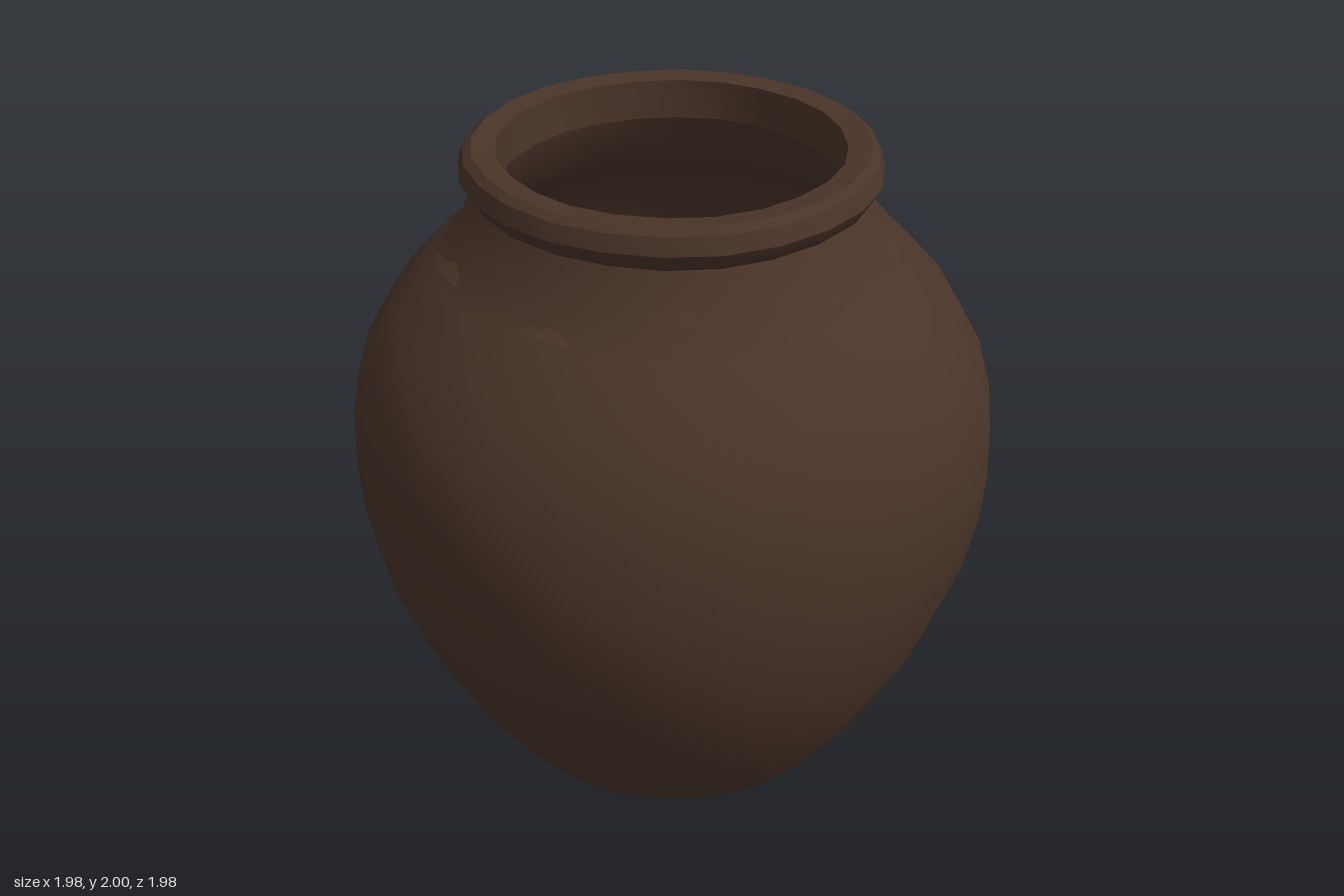
import * as THREE from 'three';
import { toCreasedNormals } from 'three/addons/utils/BufferGeometryUtils.js';

// Outer wall, from foot to the base of the neck: [radius, height]
const wall = [
  [0.6, 0.02], [0.74, 0.23], [0.86, 0.47], [0.94, 0.68], [0.98, 0.88], [0.99, 1.04],
  [0.975, 1.22], [0.93, 1.37], [0.85, 1.51], [0.71, 1.66], [0.64, 1.72], [0.57, 1.87],
];
const rim = [[0.57, 1.87], [0.59, 1.885], [0.615, 1.93], [0.6, 1.98], [0.575, 1.998], [0.505, 1.99], [0.5, 1.87]];

// Gentle hand-made unevenness, periodic around the pot
const wobble = (a, y) => 1 + 0.005 * Math.sin(3 * a + 4 * y) + 0.004 * Math.sin(7 * a - 9 * y);

function radiusAt(y) {
  let i = 1;
  while (i < wall.length - 1 && wall[i][1] < y) i++;
  const [r0, y0] = wall[i - 1], [r1, y1] = wall[i];
  return r0 + (r1 - r0) * (y - y0) / (y1 - y0);
}

function turned(profile, crease) {
  const geo = new THREE.LatheGeometry(profile.map(([r, y]) => new THREE.Vector2(r, y)), 24);
  const p = geo.attributes.position;
  for (let i = 0; i < p.count; i++) {
    const x = p.getX(i), z = p.getZ(i), k = wobble(Math.atan2(x, z), p.getY(i));
    p.setX(i, x * k);
    p.setZ(i, z * k);
  }
  return toCreasedNormals(geo, crease);
}

// A thin raised sliver of clay: upper edge flush, lower edge lifted like a ledge
function sliver(angle, y, length, tilt) {
  const steps = 6, pos = [], index = [];
  for (let i = 0; i <= steps; i++) {
    const t = i / steps, s = Math.sin(Math.PI * t);
    const a = angle + (t - 0.5) * length / radiusAt(y), h = y + (t - 0.5) * tilt;
    const put = (yy, lift) => {
      const r = radiusAt(yy) * wobble(a, yy) + lift;
      pos.push(r * Math.sin(a), yy, r * Math.cos(a));
    };
    put(h + 0.03 * s, -0.004);
    put(h, 0.009 * s - 0.003);
    put(h - 0.006 * s, -0.008);
    if (i < steps) {
      for (let k = 0; k < 2; k++) {
        const b = i * 3 + k;
        index.push(b, b + 1, b + 3, b + 1, b + 4, b + 3);
      }
    }
  }
  const geo = new THREE.BufferGeometry();
  geo.setAttribute('position', new THREE.Float32BufferAttribute(pos, 3));
  geo.setIndex(index);
  return toCreasedNormals(geo, 0.5);
}

export function createModel() {
  const pot = new THREE.Group();
  pot.name = 'clayPot';
  const clay = new THREE.MeshStandardMaterial({ color: 0x4a3429 });
  clay.name = 'darkBrownClay';

  const add = (name, geo) => {
    const mesh = new THREE.Mesh(geo, clay);
    mesh.name = name;
    pot.add(mesh);
  };

  add('body', turned([[0, 0], [0.585, 0.002], ...wall], 0.6));
  add('rim', turned(rim, 0.55));

  // Hollow inside, following the outer wall down to a flat floor
  const inner = wall.slice(1, -1).reverse().map(([r, y]) => [r - 0.08, y]);
  add('inside', turned([[0.5, 1.87], ...inner, [0.56, 0.09], [0, 0.08]], 0.6));

  // Slivers around the shoulder and a few on the belly: [angle, height, length, tilt]
  [
    [-0.75, 1.675, 0.18, -0.01], [-0.15, 1.74, 0.3, -0.03], [0.45, 1.72, 0.25, 0.01],
    [0.6, 1.675, 0.3, 0.01], [1.2, 1.7, 0.2, 0.03], [1.75, 1.68, 0.25, -0.02],
    [1.9, 1.74, 0.25, 0.03], [2.6, 1.67, 0.3, -0.02], [-2.75, 1.7, 0.3, 0.02],
    [-1.5, 1.68, 0.3, 0.02], [1.67, 0.87, 0.36, 0.05], [-2.3, 1.1, 0.2, 0.08],
  ].forEach(([a, y, l, t]) => add('claySliver', sliver(a, y, l, t)));

  return pot;
}
